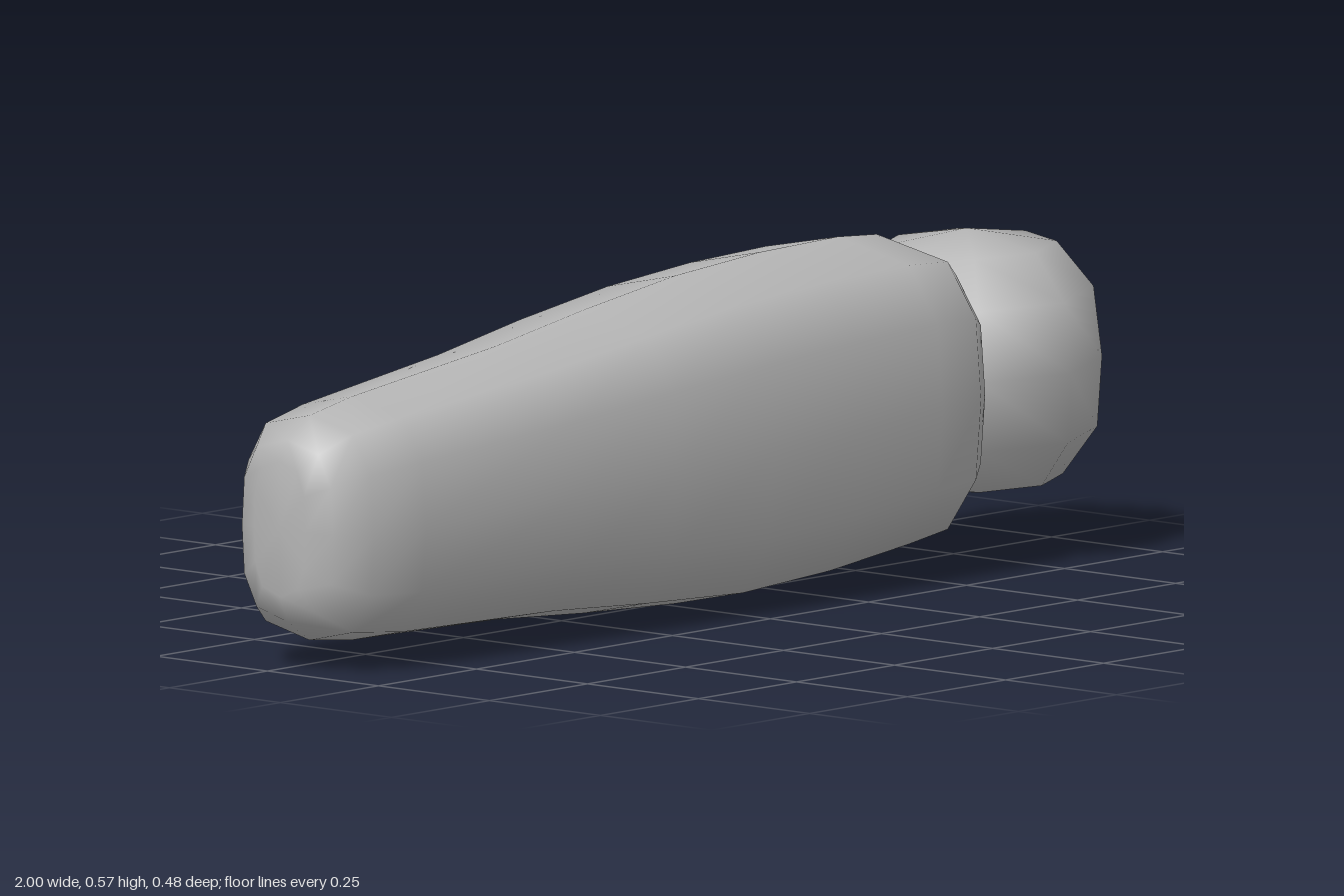
import * as THREE from 'three';

// Half outline of a softened twelve-sided cross-section: [side, up]
const HALF = [[0, 1], [0.68, 0.88], [0.95, 0.53], [1, 0], [0.95, -0.53], [0.68, -0.88], [0, -1]];
const RING = [...HALF, ...HALF.slice(1, -1).reverse().map(([s, u]) => [-s, u])];

// Skin a series of sections [x, yLow, yHigh, zBack, zFront], closed at both ends
function loft(sections) {
  const pos = [], index = [], n = RING.length;
  for (const [x, y0, y1, z0, z1] of sections) {
    for (const [s, u] of RING) {
      pos.push(x, (y0 + y1) / 2 + (u * (y1 - y0)) / 2, (z0 + z1) / 2 + (s * (z1 - z0)) / 2);
    }
  }
  const last = (sections.length - 1) * n;
  for (let i = 0; i < last; i += n) {
    for (let j = 0; j < n; j++) {
      const a = i + j, b = i + ((j + 1) % n);
      index.push(a, b, a + n, b, b + n, a + n);
    }
  }
  // End caps fan out from a centre point
  for (const [start, sec] of [[0, sections[0]], [last, sections[sections.length - 1]]]) {
    const c = pos.length / 3;
    pos.push(sec[0], (sec[1] + sec[2]) / 2, (sec[3] + sec[4]) / 2);
    for (let j = 0; j < n; j++) {
      const a = start + j, b = start + ((j + 1) % n);
      if (start === 0) index.push(c, b, a);
      else index.push(c, a, b);
    }
  }
  const g = new THREE.BufferGeometry();
  g.setAttribute('position', new THREE.Float32BufferAttribute(pos, 3));
  g.setIndex(index);
  g.computeVertexNormals();
  return g;
}

export function createModel() {
  const group = new THREE.Group();
  const grey = new THREE.MeshStandardMaterial({ color: 0xb4b4b4 });
  grey.name = 'plain grey';

  // Tapered body, rounded at both ends
  const body = new THREE.Mesh(loft([
    [-1.0, 0.13, 0.36, -0.03, 0.085],
    [-0.98, 0.085, 0.395, -0.075, 0.13],
    [-0.93, 0.048, 0.432, -0.112, 0.178],
    [-0.82, 0.036, 0.452, -0.132, 0.198],
    [-0.45, 0.028, 0.495, -0.163, 0.222],
    [-0.22, 0.012, 0.53, -0.187, 0.235],
    [0.02, 0.0, 0.56, -0.207, 0.241],
    [0.25, 0.011, 0.573, -0.226, 0.238],
    [0.46, 0.033, 0.574, -0.243, 0.232],
    [0.56, 0.048, 0.567, -0.24, 0.23],
    [0.61, 0.085, 0.53, -0.205, 0.195],
    [0.635, 0.14, 0.48, -0.16, 0.15],
  ]), grey);
  body.name = 'body';
  group.add(body);

  // Low-sided ball set into the wide end
  const ball = new THREE.Mesh(new THREE.SphereGeometry(1, 8, 6), grey);
  const p = ball.geometry.attributes.position;
  const radii = [0, 0.68, 0.95, 1, 0.95, 0.68, 0];
  const heights = [1, 0.88, 0.53, 0, -0.53, -0.88, -1];
  for (let i = 0; i < p.count; i++) {
    const row = Math.floor(i / 9), a = ((i % 9) * Math.PI) / 4;
    p.setXYZ(i, -Math.cos(a) * radii[row], heights[row], Math.sin(a) * radii[row]);
  }
  // Rounded normals
  for (let i = 0; i < p.count; i++) {
    const v = new THREE.Vector3().fromBufferAttribute(p, i).normalize();
    ball.geometry.attributes.normal.setXYZ(i, v.x, v.y, v.z);
  }
  ball.name = 'ball';
  ball.scale.set(0.219, 0.227, 0.227);
  ball.position.set(0.781, 0.328, 0.01);
  ball.rotation.z = 0.04;
  group.add(ball);

  return group;
}
